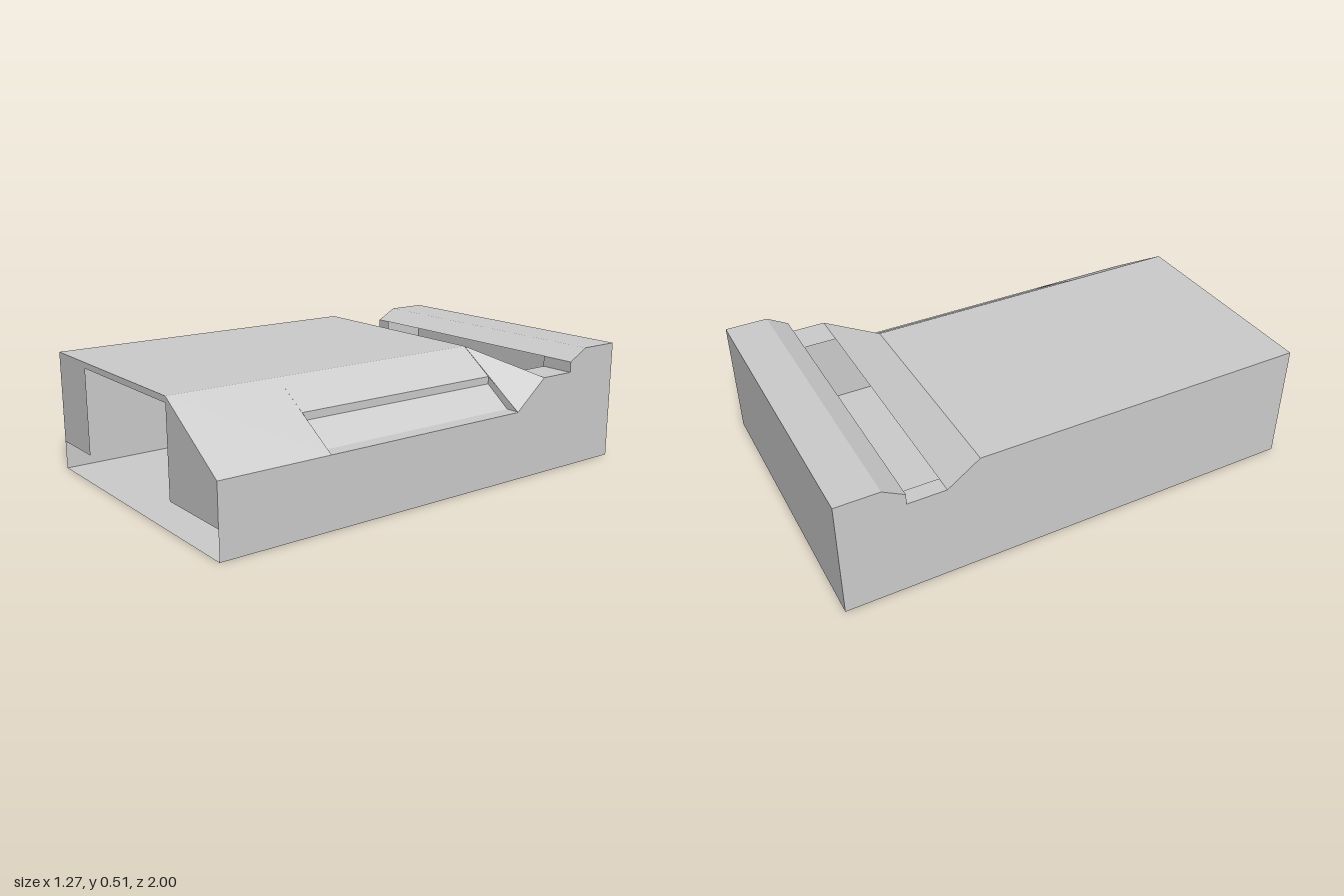
import * as THREE from 'three';

const L = -0.64, R = 0.635, RIDGE = 0.295; // outer sides and start of the bevel

export function createModel() {
  const group = new THREE.Group();
  const material = new THREE.MeshStandardMaterial({
    color: 0xcccccc, flatShading: true, side: THREE.DoubleSide,
  });

  const add = (name, geometry) => {
    const mesh = new THREE.Mesh(geometry, material);
    mesh.name = name;
    group.add(mesh);
    return mesh;
  };

  // Convex faces, each a list of corners counter-clockwise from outside
  const addFaces = (name, faces) => {
    const pos = [];
    for (const f of faces)
      for (let i = 1; i < f.length - 1; i++) pos.push(...f[0], ...f[i], ...f[i + 1]);
    const g = new THREE.BufferGeometry();
    g.setAttribute('position', new THREE.Float32BufferAttribute(pos, 3));
    g.computeVertexNormals();
    return add(name, g);
  };

  // Sheet swept along x following a [z, y] path
  const strip = (x0, x1, path) => path.slice(1).map(([zb, yb], i) => {
    const [za, ya] = path[i];
    return [[x0, ya, za], [x1, ya, za], [x1, yb, zb], [x0, yb, zb]];
  });

  // Flat outline
  const panel = (name, pts) => add(name,
    new THREE.ShapeGeometry(new THREE.Shape(pts.map(p => new THREE.Vector2(...p)))));

  // Hollow shell: top, rear rail, back and base
  addFaces('topPlate', strip(L, RIDGE, [[1, 0.51], [-0.435, 0.51]]));
  addFaces('rearSlope', [[[L, 0.51, -0.435], [RIDGE, 0.51, -0.435], [R, 0.415, -0.57], [L, 0.415, -0.57]]]);
  addFaces('rearRail', strip(L, R, [[-0.73, 0.46], [-0.82, 0.51], [-1, 0.51]]));
  addFaces('backWall', strip(L, R, [[-1, 0.51], [-1, 0]]));
  addFaces('base', strip(L, R, [[-1, 0], [1, 0]]));

  // Groove ledges on both sides of the rear slot
  const groove = [[-0.57, 0.415], [-0.73, 0.415], [-0.73, 0.46]];
  addFaces('grooveLedgeRight', strip(L, -0.57, groove));
  addFaces('grooveLedgeLeft', strip(0.485, R, groove));

  // Front panel with a wide opening below and a tall one in the middle
  panel('frontPanel', [[L, 0.12], [-0.385, 0.12], [-0.385, 0.485], [RIDGE, 0.485], [RIDGE, 0.12],
    [R, 0.12], [R, 0.29], [RIDGE, 0.51], [L, 0.51]]).position.z = 1;

  // Side walls, drawn as [-z, y] and turned to face +x
  const rear = [[0.57, 0.415], [0.73, 0.415], [0.73, 0.46], [0.82, 0.51], [1, 0.51], [1, 0], [-1, 0]];
  const leftWall = panel('leftWall', [[-1, 0.29], [0.42, 0.29], ...rear]);
  const rightWall = panel('rightWall', [[-1, 0.51], [0.435, 0.51], ...rear]);
  leftWall.rotation.y = rightWall.rotation.y = Math.PI / 2;
  leftWall.position.x = R;
  rightWall.position.x = L;

  // Bevel along the left edge, framing the recess
  const xi = 0.455, yi = 0.407, zf = 0.53, zb = -0.425, ze = -0.42;
  addFaces('leftBevel', [
    [[RIDGE, 0.51, 1], [R, 0.29, 1], [R, 0.29, zf], [RIDGE, 0.51, zf]],
    [[RIDGE, 0.51, zf], [xi, yi, zf], [xi, yi, zb], [RIDGE, 0.51, -0.435]],
  ]);
  addFaces('bevelEnd', [[[RIDGE, 0.51, -0.435], [R, 0.29, ze], [R, 0.415, -0.57]]]);

  // Recess: inner wall, sloping floor, flat lip and two end walls
  const section = [[xi, yi], [xi, 0.375], [0.57, 0.29], [R, 0.29]];
  const end = z => section.map(([x, y]) => [x, y, z]);
  const front = end(zf), back = end(zb);
  addFaces('bevelRecess', [
    ...section.slice(1).map((_, i) => [front[i], front[i + 1], back[i + 1], back[i]]),
    back, front.slice().reverse(),
  ]);

  return group;
}
